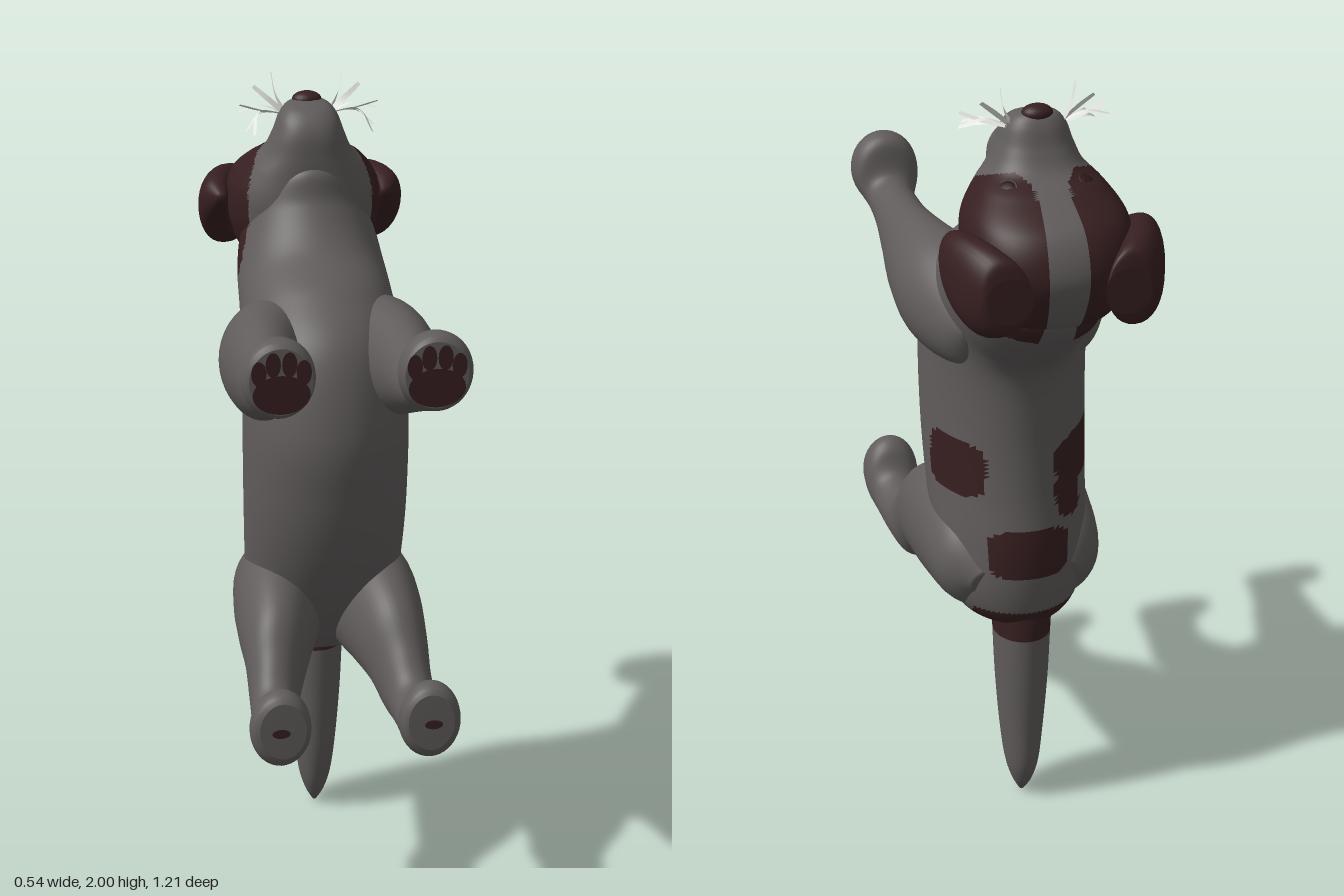
import * as THREE from 'three';

const mat = (name, color) => Object.assign(new THREE.MeshStandardMaterial({ color }), { name });
const coat = mat('grey coat', 0x605c5b);
const brown = mat('brown patches', 0x371f20);
const dark = mat('dark eye', 0x2c1819);
const pale = mat('pale whiskers', 0xe6e6e2);
pale.side = THREE.DoubleSide;

// Smooth loft through sections [aY, aZ, bY, bZ, halfWidth, centreX]; a and b are opposite rim points.
// egg narrows the a side and widens the b side.
function loft(sections, { power = 1, egg = 0, around = 56, sub = 12 } = {}) {
  const rows = [], n = sections.length;
  for (let s = 0; s <= (n - 1) * sub; s++) {
    const i = Math.min(Math.floor(s / sub), n - 2), t = s / sub - i;
    rows.push([0, 1, 2, 3, 4, 5].map(k => {
      const p = j => sections[Math.max(0, Math.min(n - 1, j))][k] ?? 0;
      const m0 = (p(i + 1) - p(i - 1)) / 2, m1 = (p(i + 2) - p(i)) / 2, t2 = t * t, t3 = t2 * t;
      return (2 * t3 - 3 * t2 + 1) * p(i) + (t3 - 2 * t2 + t) * m0 + (3 * t2 - 2 * t3) * p(i + 1) + (t3 - t2) * m1;
    }));
  }
  const pos = [], idx = [];
  const round = v => Math.sign(v) * Math.abs(v) ** power;
  for (const [ay, az, by, bz, w, cx] of rows) {
    for (let j = 0; j < around; j++) {
      const a = j / around * Math.PI * 2, c = round(Math.cos(a)) / 2;
      pos.push(cx + w * round(Math.sin(a)) * (1 - egg * c * 2), (ay + by) / 2 + c * (ay - by), (az + bz) / 2 + c * (az - bz));
    }
  }
  for (let r = 0; r < rows.length - 1; r++) {
    for (let j = 0; j < around; j++) {
      const a = r * around + j, b = r * around + (j + 1) % around;
      idx.push(a, b, a + around, b, b + around, a + around);
    }
  }
  // End caps
  for (const [r, flip] of [[0, true], [rows.length - 1, false]]) {
    const [ay, az, by, bz, , cx] = rows[r], c = pos.length / 3;
    pos.push(cx, (ay + by) / 2, (az + bz) / 2);
    for (let j = 0; j < around; j++) {
      const a = r * around + j, b = r * around + (j + 1) % around;
      idx.push(c, flip ? b : a, flip ? a : b);
    }
  }
  // Turn the faces outward using the signed volume
  const v = i => new THREE.Vector3().fromArray(pos, i * 3);
  let volume = 0;
  for (let i = 0; i < idx.length; i += 3) volume += v(idx[i]).dot(v(idx[i + 1]).cross(v(idx[i + 2])));
  if (volume < 0) idx.reverse();
  const g = new THREE.BufferGeometry();
  g.setAttribute('position', new THREE.Float32BufferAttribute(pos, 3));
  g.setIndex(idx);
  g.computeVertexNormals();
  return g;
}

// Sort triangles into grey and brown groups by a rule on their centre
function patched(name, g, rule) {
  const p = g.attributes.position, idx = g.index.array, sets = [[], []];
  for (let i = 0; i < idx.length; i += 3) {
    const t = [idx[i], idx[i + 1], idx[i + 2]];
    const mid = f => (p[f](t[0]) + p[f](t[1]) + p[f](t[2])) / 3;
    sets[rule(mid('getX'), mid('getY'), mid('getZ')) ? 1 : 0].push(...t);
  }
  g.setIndex(sets.flat());
  g.addGroup(0, sets[0].length, 0);
  g.addGroup(sets[0].length, sets[1].length, 1);
  return Object.assign(new THREE.Mesh(g, [coat, brown]), { name });
}

// Flat tapering ribbon along a curve, facing a given way, for whiskers
function ribbon(points, width, facing) {
  const path = new THREE.CatmullRomCurve3(points), g = new THREE.PlaneGeometry(1, 1, 12, 1);
  const p = g.attributes.position;
  for (let i = 0; i < p.count; i++) {
    const t = p.getX(i) + 0.5, across = path.getTangent(t).cross(facing).normalize();
    const q = path.getPoint(t).addScaledVector(across, p.getY(i) * width * (1 - 0.45 * t));
    p.setXYZ(i, q.x, q.y, q.z);
  }
  g.computeVertexNormals();
  return g;
}

// Brown mask on both sides of a grey blaze
function mask(x, y, z) {
  const blaze = 0.042 + Math.max(0, z + 0.42) * 0.65;
  const lower = 1.42 + Math.max(0, z + 0.3) * 0.9;
  return z < -0.205 && y > lower && y < 1.75 - (z + 0.22) * 0.38 && Math.abs(x) > blaze;
}

// Flank spots, a saddle spot and the tail root
const inSpot = (u, v, cu, cv, ru, rv) => ((u - cu) / ru) ** 4 + ((v - cv) / rv) ** 4 < 1;
function bodyPatches(x, y, z) {
  if (mask(x, y, z)) return true;
  if (x > 0.05 && inSpot(y, z, 0.953, -0.125, 0.075, 0.092)) return true;
  if (x < -0.05 && inSpot(y, z, 0.97, -0.12, 0.068, 0.12)) return true;
  if (x < -0.05 && inSpot(y, z, 0.88, -0.21, 0.06, 0.035)) return true;
  if (z < -0.2 && inSpot(x, y, 0, 0.745, 0.105, 0.066)) return true;
  return z < -0.1 && y < 0.575 && Math.abs(x) < 0.13;
}

export function createModel() {
  const model = new THREE.Group();
  model.name = 'puppy';
  const add = (name, geometry, material, parent = model) => {
    const m = Object.assign(new THREE.Mesh(geometry, material), { name });
    parent.add(m);
    return m;
  };

  // Torso and neck
  model.add(patched('torso', loft([
    [0.525, -0.2, 0.53, -0.05, 0.04], [0.54, -0.25, 0.54, 0, 0.13], [0.62, -0.275, 0.62, 0.08, 0.18],
    [0.75, -0.28, 0.75, 0.17, 0.196], [0.9, -0.262, 0.9, 0.235, 0.203], [1.05, -0.255, 1.05, 0.27, 0.206],
    [1.2, -0.265, 1.22, 0.28, 0.206], [1.27, -0.3, 1.42, 0.22, 0.2], [1.33, -0.38, 1.53, 0.09, 0.193],
    [1.4, -0.47, 1.6, -0.06, 0.185], [1.47, -0.53, 1.69, -0.145, 0.165], [1.55, -0.53, 1.77, -0.174, 0.12],
    [1.62, -0.48, 1.79, -0.25, 0.08],
  ], { egg: 0.1, around: 72, sub: 14 }), bodyPatches));

  // Head and muzzle
  model.add(patched('head', loft([
    [1.5, -0.5, 1.52, -0.3, 0.08], [1.48, -0.54, 1.56, -0.23, 0.155], [1.55, -0.59, 1.61, -0.185, 0.185],
    [1.63, -0.605, 1.66, -0.175, 0.196], [1.715, -0.565, 1.7, -0.175, 0.188], [1.772, -0.47, 1.75, -0.178, 0.152],
    [1.803, -0.4, 1.8, -0.18, 0.112], [1.85, -0.365, 1.85, -0.185, 0.09], [1.9, -0.345, 1.885, -0.2, 0.074],
    [1.925, -0.325, 1.91, -0.225, 0.052], [1.93, -0.295, 1.922, -0.255, 0.02],
  ], { power: 0.8, around: 72, sub: 14 }), mask));

  // Nose
  const nose = add('nose', new THREE.SphereGeometry(0.036, 24, 16), brown);
  nose.scale.set(1.05, 0.6, 0.85);
  nose.position.set(0, 1.924, -0.305);

  // Tail
  model.add(patched('tail', loft([
    [0.6, -0.25, 0.6, -0.1, 0.08], [0.5, -0.262, 0.5, -0.085, 0.074], [0.35, -0.26, 0.35, -0.087, 0.067],
    [0.2, -0.25, 0.2, -0.097, 0.055], [0.1, -0.24, 0.1, -0.117, 0.043], [0.04, -0.217, 0.04, -0.143, 0.026],
    [0, -0.185, 0, -0.175, 0.005],
  ]), (x, y) => y > 0.492));

  const ear = [
    [1.64, -0.603, 1.53, -0.605, 0.055, 0.14], [1.68, -0.59, 1.5, -0.595, 0.06, 0.152], [1.7, -0.54, 1.485, -0.55, 0.062, 0.179],
    [1.705, -0.47, 1.51, -0.48, 0.055, 0.207], [1.695, -0.41, 1.57, -0.42, 0.042, 0.22], [1.67, -0.355, 1.65, -0.355, 0.012, 0.212],
  ];
  const frontLeg = [
    [1.4, -0.22, 1.3, -0.22, 0.08, 0.08], [1.46, -0.13, 1.22, -0.16, 0.115, 0.095], [1.5, 0, 1.2, 0, 0.13, 0.132],
    [1.505, 0.15, 1.235, 0.15, 0.1, 0.165], [1.49, 0.3, 1.285, 0.28, 0.076, 0.174], [1.48, 0.42, 1.34, 0.42, 0.063, 0.175],
    [1.49, 0.5, 1.37, 0.5, 0.062, 0.178], [1.57, 0.525, 1.385, 0.54, 0.08, 0.18], [1.59, 0.56, 1.395, 0.57, 0.087, 0.183],
    [1.587, 0.59, 1.405, 0.595, 0.082, 0.183], [1.575, 0.605, 1.415, 0.605, 0.074, 0.18],
  ];
  const hindLeg = [
    [0.7, -0.24, 0.6, -0.2, 0.08, 0.06], [0.8, -0.15, 0.55, -0.15, 0.118, 0.092], [0.85, 0, 0.525, 0, 0.122, 0.112],
    [0.83, 0.12, 0.52, 0.12, 0.105, 0.133], [0.77, 0.25, 0.51, 0.23, 0.082, 0.15], [0.68, 0.33, 0.47, 0.3, 0.065, 0.165],
    [0.615, 0.4, 0.475, 0.38, 0.058, 0.175], [0.62, 0.49, 0.487, 0.48, 0.062, 0.18], [0.68, 0.53, 0.49, 0.54, 0.072, 0.182],
    [0.7, 0.56, 0.5, 0.57, 0.074, 0.182], [0.695, 0.59, 0.515, 0.595, 0.07, 0.182], [0.68, 0.605, 0.535, 0.605, 0.056, 0.18],
  ];
  // Whisker middle and end points
  const whiskers = [
    [[0.12, 1.915, -0.295], [0.18, 1.9, -0.285]], [[0.12, 1.905, -0.28], [0.175, 1.925, -0.262]],
    [[0.125, 1.905, -0.265], [0.148, 1.87, -0.17]], [[0.12, 1.9, -0.275], [0.165, 1.87, -0.21]],
    [[0.08, 1.94, -0.305], [0.09, 1.995, -0.31]], [[0.1, 1.93, -0.3], [0.135, 1.96, -0.31]],
  ];

  for (const side of [1, -1]) {
    const tag = side > 0 ? 'left' : 'right';
    const mirror = sections => sections.map(s => [...s.slice(0, 5), s[5] * side]);
    add(tag + 'Ear', loft(mirror(ear), { power: 0.9, around: 32, sub: 8 }), brown);
    add(tag + 'FrontLeg', loft(mirror(frontLeg), { around: 40, sub: 8 }), coat);
    add(tag + 'HindLeg', loft(mirror(hindLeg), { around: 40, sub: 8 }), coat);

    // Eyes with a raised lid ring
    const eye = new THREE.Group();
    eye.name = tag + 'Eye';
    eye.position.set(0.1 * side, 1.776, -0.403);
    eye.rotation.set(-0.5, 0, -0.5 * side);
    add('eyeball', new THREE.SphereGeometry(0.026, 20, 14), dark, eye).scale.y = 0.35;
    add('eyelid', new THREE.TorusGeometry(0.028, 0.004, 8, 28), brown, eye).rotation.x = Math.PI / 2;
    model.add(eye);

    // Paw pads
    const pad = (name, x, y, rx, ry) => {
      const m = add(name, new THREE.CircleGeometry(1, 24), brown);
      m.position.set(x * side, y, 0.607);
      m.scale.set(rx, ry, 1);
    };
    pad(tag + 'FrontPad', 0.18, 1.465, 0.067, 0.047);
    [[-0.052, 1.518], [-0.019, 1.538], [0.019, 1.538], [0.052, 1.518]].forEach(([x, y]) =>
      pad(tag + 'ToePad', 0.18 + x, y, 0.0175, 0.03));
    pad(tag + 'HindPad', 0.185, 0.603, 0.022, 0.012);

    // Whiskers
    const facing = new THREE.Vector3(0.7 * side, 0.7, 0);
    for (const [mid, end] of whiskers) {
      const points = [[0.055, 1.89, -0.295], mid, end].map(([x, y, z]) => new THREE.Vector3(x * side, y, z));
      add(tag + 'Whisker', ribbon(points, 0.018, facing), pale);
    }
  }
  return model;
}
